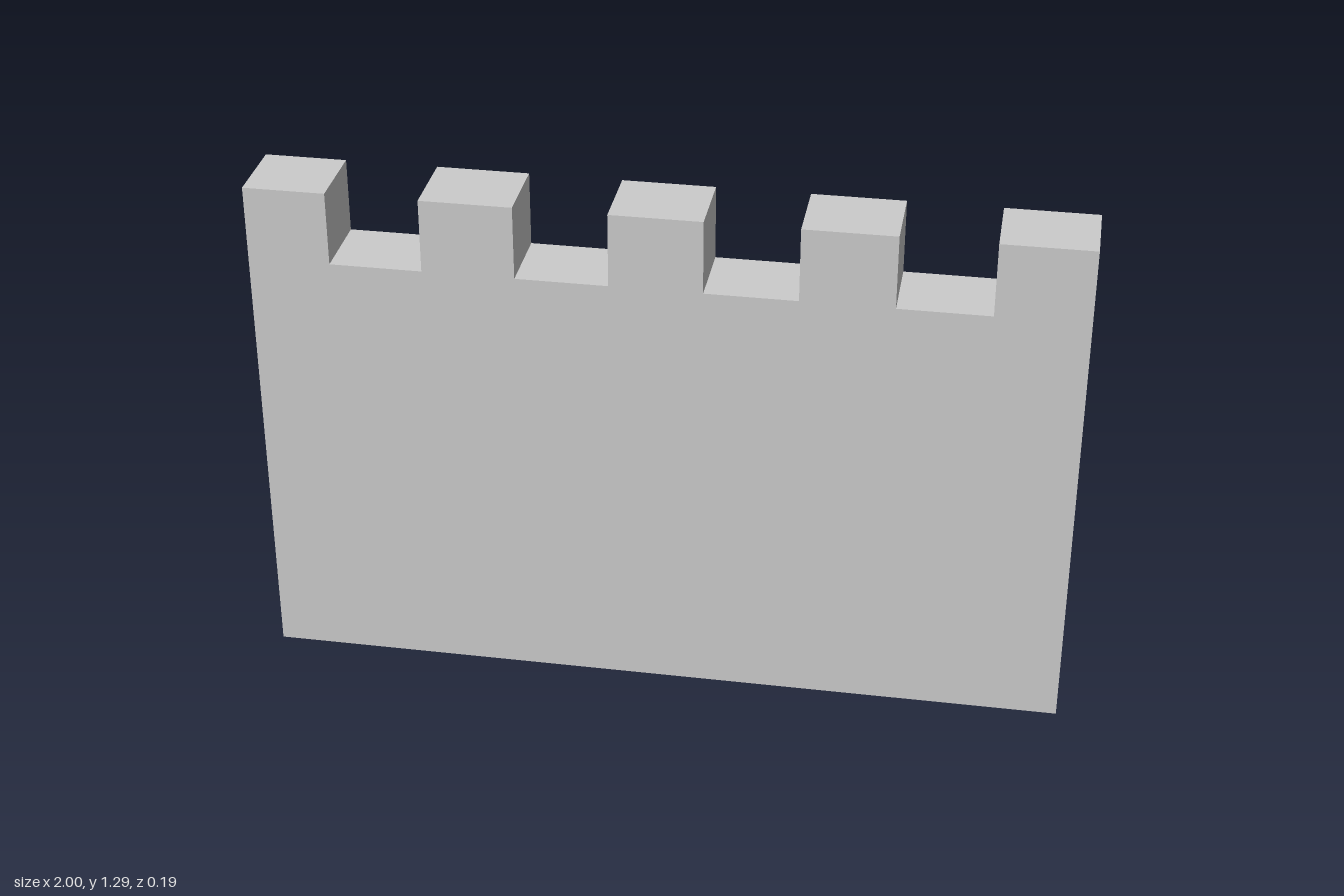
import * as THREE from 'three';

const HEIGHT = 1.29, NOTCH_FLOOR = 1.105, DEPTH = 0.19;
const NOTCH_START = -0.8, NOTCH_WIDTH = 0.225, NOTCH_PITCH = 0.45, NOTCHES = 4;

// Wall outline with a crenellated top edge, drawn counter-clockwise
function wallOutline() {
  const shape = new THREE.Shape();
  shape.moveTo(-1, 0);
  shape.lineTo(1, 0);
  shape.lineTo(1, HEIGHT);
  for (let i = NOTCHES - 1; i >= 0; i--) {
    const left = NOTCH_START + i * NOTCH_PITCH;
    const right = left + NOTCH_WIDTH;
    shape.lineTo(right, HEIGHT);
    shape.lineTo(right, NOTCH_FLOOR);
    shape.lineTo(left, NOTCH_FLOOR);
    shape.lineTo(left, HEIGHT);
  }
  shape.lineTo(-1, HEIGHT);
  shape.closePath();
  return shape;
}

export function createModel() {
  const group = new THREE.Group();
  group.name = 'castleWall';

  // Solid wall and merlons in one extrusion, centred on z
  const geometry = new THREE.ExtrudeGeometry(wallOutline(), { depth: DEPTH, bevelEnabled: false });
  geometry.translate(0, 0, -DEPTH / 2);
  const material = new THREE.MeshStandardMaterial({ color: 0xcccccc, flatShading: true });
  const wall = new THREE.Mesh(geometry, material);
  wall.name = 'crenellatedWall';
  group.add(wall);

  return group;
}
